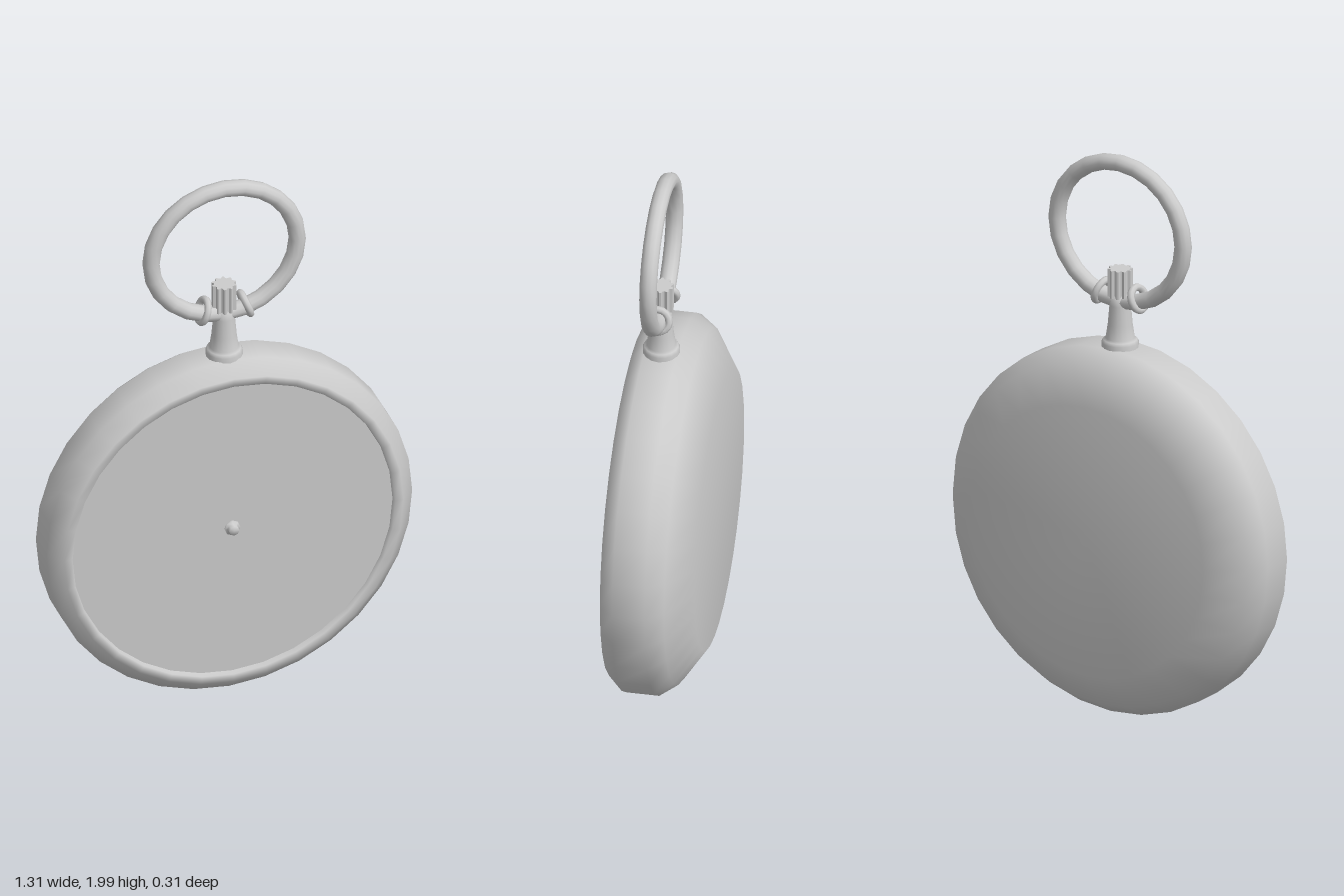
import * as THREE from 'three';

export function createModel() {
  const model = new THREE.Group();
  const material = new THREE.MeshStandardMaterial({ color: 0xcccccc });
  const midY = 0.66, stemZ = 0.045;

  function add(name, geometry, x, y, z) {
    const mesh = new THREE.Mesh(geometry, material);
    mesh.name = name;
    mesh.position.set(x, y, z);
    model.add(mesh);
    return mesh;
  }
  const lathe = (points, sides) =>
    new THREE.LatheGeometry(points.map(([r, h]) => new THREE.Vector2(r, h)), sides);

  // Case: profile of radius and depth, from the back to the front lip
  const caseProfile = [
    [0, -0.155], [0.485, -0.155], [0.612, -0.072], [0.655, -0.012],
    [0.655, 0.1], [0.607, 0.15], [0.578, 0.15], [0.574, 0.128],
  ];
  add('case', lathe(caseProfile, 32).rotateX(Math.PI / 2), 0, midY, 0);

  // Dial, set slightly below the lip
  add('dial', new THREE.CircleGeometry(0.576, 32), 0, midY, 0.13);

  // Centre pin for the hands
  const pin = [[0.028, 0], [0.028, 0.006], [0.018, 0.008], [0.018, 0.025], [0, 0.025]];
  add('centrePin', lathe(pin, 8).rotateX(Math.PI / 2), 0, midY, 0.13);

  // Neck with a flange where it meets the case
  const neck = [
    [0.064, 1.29], [0.064, 1.326], [0.058, 1.336], [0.05, 1.342],
    [0.043, 1.39], [0.037, 1.46], [0.034, 1.5], [0, 1.5],
  ];
  add('neck', lathe(neck, 16), 0, 0, stemZ);

  // Fluted winding crown
  const outline = new THREE.Shape();
  const teeth = 10;
  for (let i = 0; i < teeth * 4; i++) {
    const angle = (i / (teeth * 4)) * Math.PI * 2;
    const r = i % 4 < 2 ? 0.043 : 0.034;
    const x = r * Math.cos(angle), y = r * Math.sin(angle);
    if (i === 0) outline.moveTo(x, y);
    else outline.lineTo(x, y);
  }
  outline.closePath();
  const crown = new THREE.ExtrudeGeometry(outline, { depth: 0.1, bevelEnabled: false });
  add('crown', crown.rotateX(-Math.PI / 2), 0, 1.49, stemZ);

  // Bow ring, a little wider than tall
  const bowR = 0.262, bowY = 1.722, squash = 0.95;
  const bow = new THREE.TorusGeometry(bowR, 0.03, 12, 24);
  add('bow', bow.scale(1, squash, 1), 0, bowY, stemZ);

  // Collars around the bow on both sides of the neck
  for (const side of [-1, 1]) {
    const x = 0.076;
    const y = bowY - squash * Math.sqrt(bowR * bowR - x * x) + 0.012;
    const collar = add('bowCollar', new THREE.TorusGeometry(0.04, 0.013, 8, 16), side * x, y, stemZ);
    collar.rotation.set(0, Math.PI / 2, side * 0.35, 'ZYX');
  }
  return model;
}
